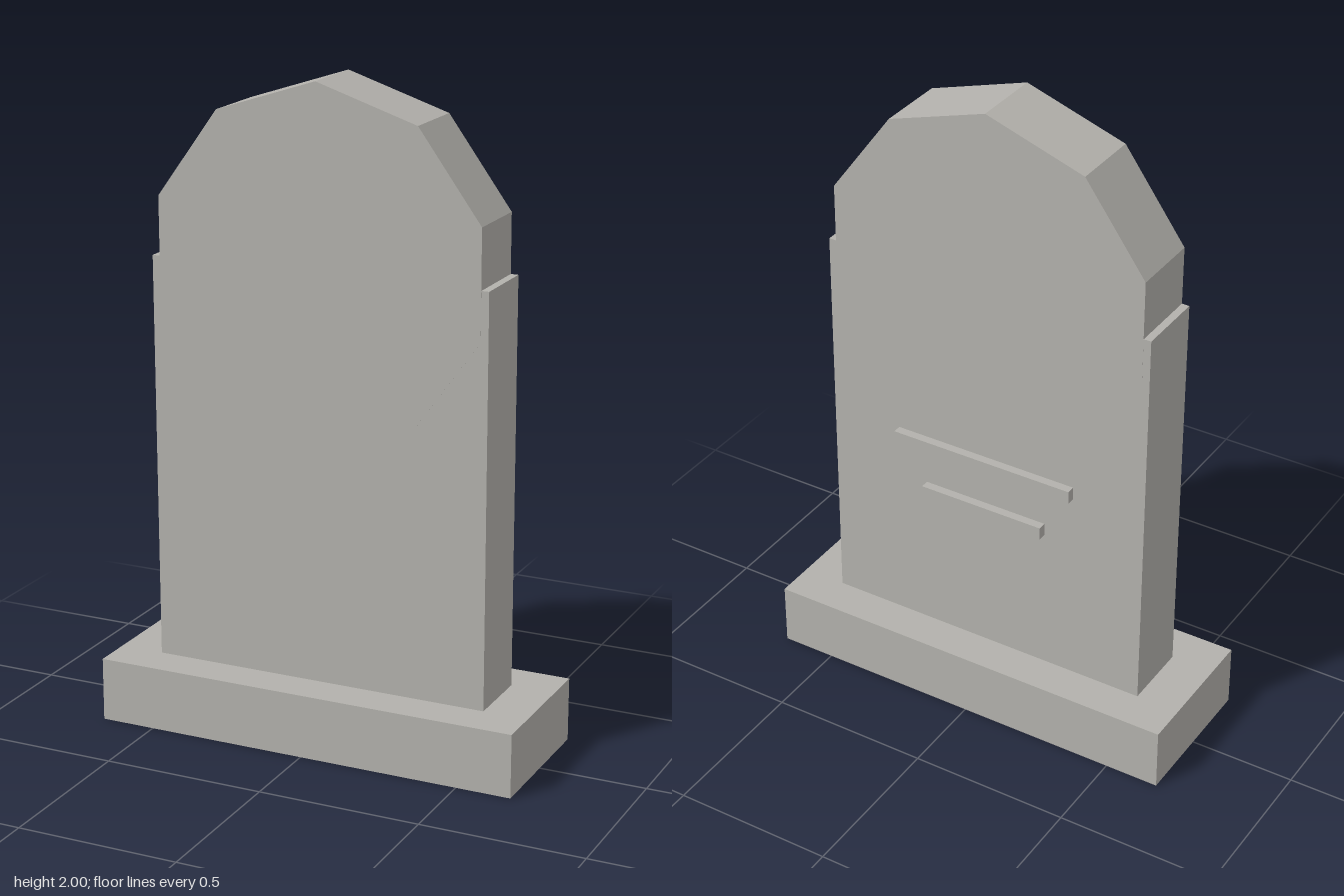
import * as THREE from 'three';

export function createModel() {
  const model = new THREE.Group();
  const stone = new THREE.MeshStandardMaterial({ color: 0xb3b1ac, flatShading: true });
  stone.name = 'stone';

  function add(parent, name, geometry, x, y, z) {
    const mesh = new THREE.Mesh(geometry, stone);
    mesh.name = name;
    mesh.position.set(x, y, z);
    parent.add(mesh);
    return mesh;
  }

  // Plinth
  add(model, 'base', new THREE.BoxGeometry(1.34, 0.197, 0.464), 0, 0.0985, 0);

  // Upright stone, leaning very slightly to one side
  const headstone = new THREE.Group();
  headstone.name = 'headstone';
  headstone.position.y = 0.19;
  headstone.rotation.z = 0.0035;
  model.add(headstone);

  add(headstone, 'slab', new THREE.BoxGeometry(1.065, 1.26, 0.219), 0, 0.63, -0.001);

  // Ten-sided rounded top, with a corner at the apex
  const top = new THREE.CylinderGeometry(0.535, 0.535, 0.22, 10);
  top.rotateX(-Math.PI / 2);
  add(headstone, 'archedTop', top, 0, 1.275, -0.001);

  // Two raised inscription bars on the back
  for (const [name, width, y] of [['longBar', 0.6, 0.853], ['shortBar', 0.41, 0.688]]) {
    add(model, name, new THREE.BoxGeometry(width, 0.04, 0.037), 0, y, -0.119);
  }

  return model;
}
